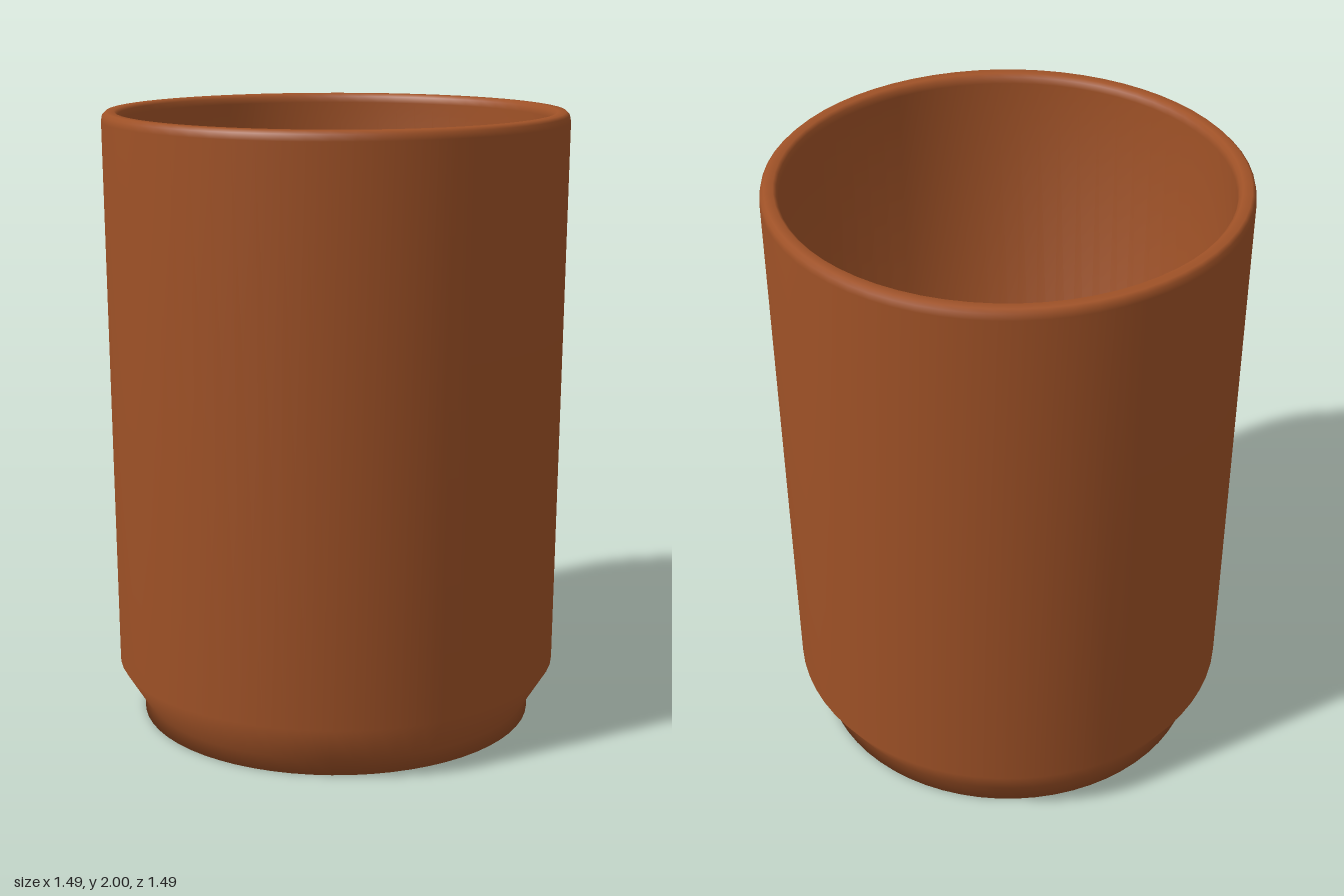
import * as THREE from 'three';

export function createModel() {
  const group = new THREE.Group();
  group.name = 'cup';

  const clay = new THREE.MeshStandardMaterial({ color: 0xa05227 });
  clay.name = 'terracotta';

  // Closed profile: underside, foot, chamfer, outer wall, rounded rim, inner wall, floor
  const profile = [
    [0, 0],
    [0.65, 0],
    [0.65, 0.05],
    [0.73, 0.18],
    [0.747, 1.97],
    [0.743, 1.99],
    [0.733, 2],
    [0.705, 2],
    [0.695, 1.99],
    [0.69, 1.97],
    [0.69, 0.18],
    [0, 0.18],
  ].map(([r, y]) => new THREE.Vector2(r, y));

  const body = new THREE.Mesh(new THREE.LatheGeometry(profile, 64), clay);
  body.name = 'cupBody';
  group.add(body);
  return group;
}
